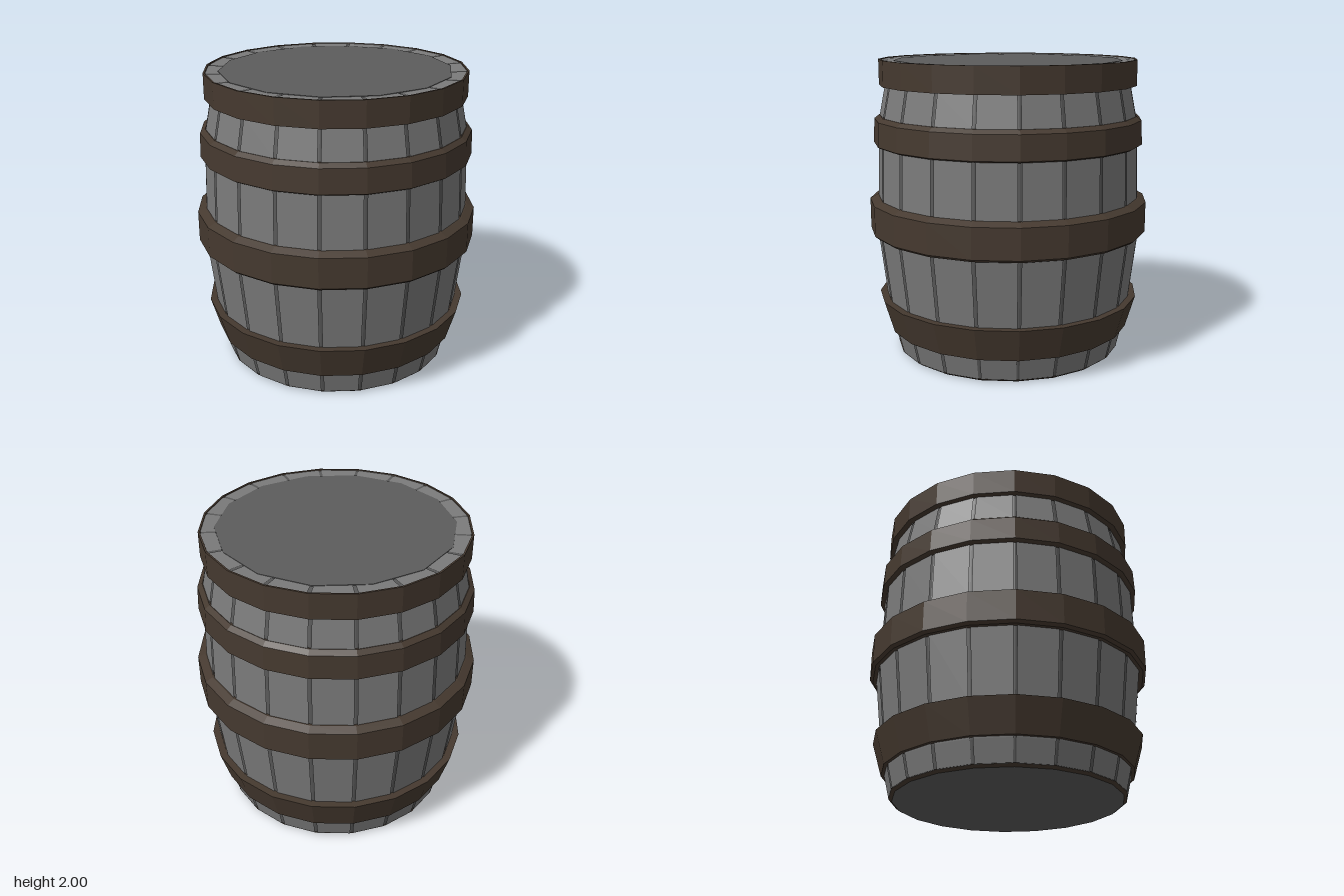
import * as THREE from 'three';

const SIDES = 20;
const STEP = (Math.PI * 2) / SIDES;

const material = (color) =>
  new THREE.MeshStandardMaterial({ color, flatShading: true, side: THREE.DoubleSide });

// Revolve a list of [radius, height] pairs into a faceted surface
function revolve(name, profile, mat, sides = SIDES, start = 0, length = Math.PI * 2) {
  const points = profile.map(([r, y]) => new THREE.Vector2(r, y));
  const mesh = new THREE.Mesh(new THREE.LatheGeometry(points, sides, start, length), mat);
  mesh.name = name;
  return mesh;
}

export function createModel() {
  const barrel = new THREE.Group();
  barrel.name = 'barrel';

  const wood = material(0x7a7a7a);
  const seamWood = material(0x585858);
  const lidWood = material(0x5c5c5c);
  const iron = material(0x45392f);

  // Bulging side, from the foot up and over onto the rim
  const side = [
    [0.775, 0.015], [0.81, 0.16], [0.85, 0.39], [0.905, 0.85], [0.89, 1.08],
    [0.88, 1.43], [0.868, 1.63], [0.828, 1.83], [0.858, 1.995], [0.74, 1.99],
  ];

  // Dark core showing through the gaps between staves
  const core = side.map(([r, y]) => [r - 0.007, y - 0.004]);
  barrel.add(revolve('seams', core, seamWood));

  // Staves, one per facet, with a narrow gap at each corner
  const staves = new THREE.Group();
  staves.name = 'staves';
  const gap = 0.012;
  for (let i = 0; i < SIDES; i++) {
    staves.add(revolve('stave', side, wood, 1, i * STEP + gap, STEP - 2 * gap));
  }
  barrel.add(staves);

  // Lid and base
  barrel.add(revolve('lid', [[0.77, 1.98], [0.77, 1.994], [0, 1.994]], lidWood, 14));
  barrel.add(revolve('base', [[0, 0], [0.755, 0]], lidWood));

  // Iron hoops as closed rings, and the thin foot trim
  const hoops = {
    footTrim: [[0.755, 0], [0.778, 0.018], [0.755, 0.018]],
    lowerHoop: [[0.79, 0.17], [0.835, 0.17], [0.9, 0.39], [0.83, 0.39]],
    middleHoop: [[0.88, 0.835], [0.93, 0.835], [0.95, 0.852], [0.95, 1.055], [0.9, 1.08], [0.87, 1.08]],
    upperHoop: [[0.86, 1.435], [0.895, 1.435], [0.913, 1.445], [0.906, 1.605], [0.873, 1.63], [0.85, 1.63]],
    topHoop: [[0.81, 1.83], [0.868, 1.83], [0.868, 2], [0.856, 2]],
  };
  for (const [name, ring] of Object.entries(hoops)) {
    barrel.add(revolve(name, [...ring, ring[0]], iron));
  }

  return barrel;
}
